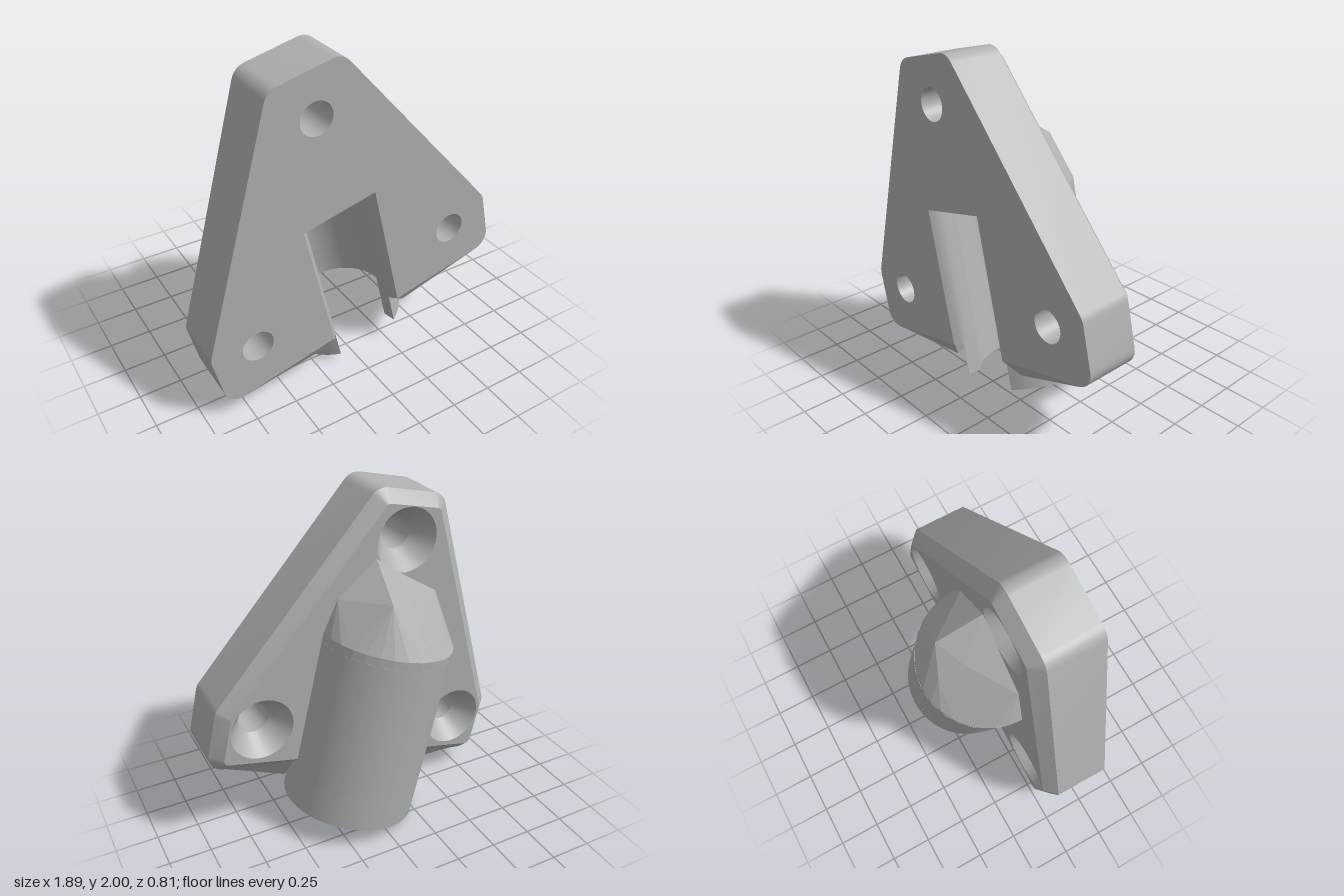
import * as THREE from 'three';
import { toCreasedNormals } from 'three/addons/utils/BufferGeometryUtils.js';
import { ConvexGeometry } from 'three/addons/geometries/ConvexGeometry.js';

const TILT = THREE.MathUtils.degToRad(13.5);
const FRONT = 0.4, OUTER = 0.405, BORE = 0.33, SLOT_TOP = 1.05, PLATE_BOTTOM = 0.21;
const HOLES = [[0, 1.656], [0.667, 0.5], [-0.667, 0.5]];
const V2 = (x, y) => new THREE.Vector2(x, y);

// points on an arc
function arc(cx, cy, r, from, to, n) {
  return Array.from({ length: n + 1 }, (_, i) => {
    const a = from + (to - from) * i / n;
    return V2(cx + r * Math.cos(a), cy + r * Math.sin(a));
  });
}

// plate outline: three rounded corners per side, with a notch for the sleeve
function outline(r) {
  const slope = THREE.MathUtils.degToRad(28.5);
  const right = [
    V2(OUTER, 0.31 - r),
    ...arc(0.837, 0.31, r, -Math.PI / 2, 0, 8),
    ...arc(0.837, 0.56, r, 0, slope, 4),
    ...arc(0.153, 1.82, r, slope, Math.PI / 2, 6),
  ];
  const left = right.map(p => V2(-p.x, p.y)).reverse();
  return [...right, ...left, V2(-OUTER, SLOT_TOP), V2(OUTER, SLOT_TOP)];
}

// clockwise loop for a screw hole
const holeLoop = ([x, y], r) => arc(x, y, r, 0, -Math.PI * 2, 32).slice(0, -1);

// wall between two matching loops, za in front of zb
function wall(a, za, b, zb) {
  const n = a.length, pos = [], index = [];
  a.forEach(p => pos.push(p.x, p.y, za));
  b.forEach(p => pos.push(p.x, p.y, zb));
  for (let i = 0; i < n; i++) {
    const j = (i + 1) % n;
    index.push(i, n + i, n + j, i, n + j, j);
  }
  const g = new THREE.BufferGeometry();
  g.setAttribute('position', new THREE.Float32BufferAttribute(pos, 3));
  g.setIndex(index);
  return toCreasedNormals(g, 0.6);
}

// flat face with the three holes
function face(loop, holeRadius, z, backward) {
  const shape = new THREE.Shape(loop);
  HOLES.forEach(h => shape.holes.push(new THREE.Path(holeLoop(h, holeRadius))));
  const g = new THREE.ShapeGeometry(shape);
  if (backward) {
    g.index.array.reverse();
    g.computeVertexNormals();
  }
  return g.translate(0, 0, z);
}

// cross-section (x, -z) pushed up along the socket axis
function extrudeUp(points, from, to) {
  const g = new THREE.ExtrudeGeometry(new THREE.Shape(points), { depth: to - from, bevelEnabled: false });
  g.rotateX(-Math.PI / 2).translate(0, from, 0);
  return toCreasedNormals(g, 0.5);
}

export function createModel() {
  const grey = new THREE.MeshStandardMaterial({ color: 0xb0b0b0 });
  grey.name = 'grey';
  const model = new THREE.Group();
  model.name = 'socketBracket';
  const body = new THREE.Group();
  body.name = 'tiltedBody';
  body.rotation.z = TILT;
  body.position.set(0.093, 0.1, 0);
  model.add(body);

  const add = (parent, name, geometry) => {
    const mesh = new THREE.Mesh(geometry, grey);
    mesh.name = name;
    parent.add(mesh);
  };

  // mounting plate, chamfered around the back
  const plate = new THREE.Group();
  plate.name = 'mountingPlate';
  body.add(plate);
  const full = outline(0.1), inset = outline(0.03);
  add(plate, 'plateFront', face(full, 0.095, FRONT, false));
  add(plate, 'plateBack', face(inset, 0.19, 0, true));
  add(plate, 'plateRim', wall(full, FRONT, full, 0.07));
  add(plate, 'plateChamfer', wall(full, 0.07, inset, 0));

  // countersunk screw holes
  HOLES.forEach(h => {
    const small = holeLoop(h, 0.095);
    add(plate, 'screwHole', wall(small, FRONT, small, 0.14));
    add(plate, 'countersink', wall(small, 0.14, holeLoop(h, 0.19), 0));
  });

  // socket: round bore open to the front through a flared slot
  const q = -Math.PI / 2;
  const open = Math.asin(0.185 / BORE), lip = Math.asin(0.2 / OUTER);
  const bore = arc(0, 0, BORE, q + Math.PI * 2 - open, q + open, 48);
  const tube = [...arc(0, 0, OUTER, q + lip, q + Math.PI * 2 - lip, 56), ...bore];
  add(body, 'socketEnd', extrudeUp(tube, 0, PLATE_BOTTOM));
  const sleeve = [
    V2(0.19, -0.33), V2(0.2, -0.365), V2(0.23, -FRONT), V2(OUTER, -FRONT),
    ...arc(0, 0, OUTER, 0, Math.PI, 40),
    V2(-OUTER, -FRONT), V2(-0.23, -FRONT), V2(-0.2, -0.365), V2(-0.19, -0.33),
    ...bore,
  ];
  add(body, 'socketSleeve', extrudeUp(sleeve, PLATE_BOTTOM, SLOT_TOP));

  // faceted cap closing the socket, in two halves around the top screw hole
  const seam = [[0, 1.24, -0.32], [0, 1.36, -0.18], [0, 1.466, 0], [0, SLOT_TOP, 0]];
  const peaks = {
    capLeft: [1, [[0.17, 1.37, -0.26], [0.17, 1.54, 0], [0.36, 1.3, 0]]],
    capRight: [-1, [[-0.27, 1.37, 0]]],
  };
  for (const [name, [side, tips]] of Object.entries(peaks)) {
    const pts = [...seam, ...tips];
    for (let i = 0; i <= 8; i++) {
      const a = i / 8 * Math.PI / 2;
      const x = side * OUTER * Math.cos(a), z = -OUTER * Math.sin(a);
      pts.push([x, SLOT_TOP, z], [x, 1.1, z]);
    }
    add(body, name, new ConvexGeometry(pts.map(p => new THREE.Vector3(...p))));
  }

  // angular gussets under the plate, either side of the socket
  for (const side of [1, -1]) {
    const pts = [
      [0.85, 0.21, FRONT], [0.22, 0.21, FRONT], [0.85, 0.21, 0.08],
      [0.3, 0.11, 0.34], [0.4, 0.09, 0.13], [0.4, 0.3, 0.01],
    ].map(([x, y, z]) => new THREE.Vector3(side * x, y, z));
    add(body, 'gusset', new ConvexGeometry(pts));
  }
  return model;
}
